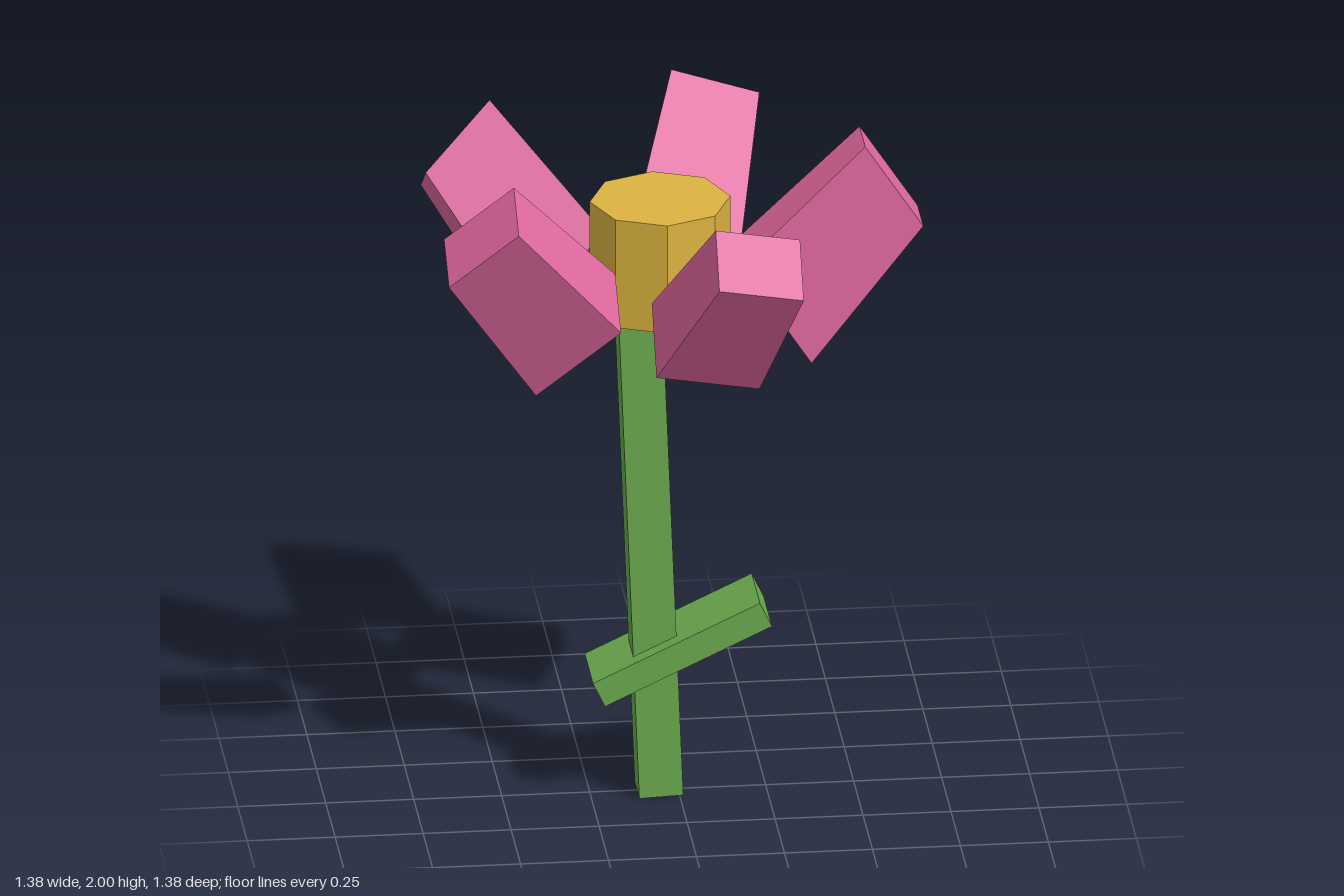
import * as THREE from 'three';
import { ConvexGeometry } from 'three/addons/geometries/ConvexGeometry.js';

const green = new THREE.MeshStandardMaterial({ color: 0x6aa84f });
green.name = 'leaf green';
const pink = new THREE.MeshStandardMaterial({ color: 0xe0689f });
pink.name = 'petal pink';
const gold = new THREE.MeshStandardMaterial({ color: 0xdcb340 });
gold.name = 'pollen gold';

const TAPER = 1.22; // inner end of a petal relative to its outer tip

// Slanted tapered block between two centres; u and v are the tip's half edges
function petalGeometry({ inner, outer, u, v }, mirror) {
  const points = [];
  for (const [centre, scale] of [[inner, TAPER], [outer, 1]]) {
    for (const a of [-scale, scale]) {
      for (const b of [-scale, scale]) {
        const p = centre.map((c, i) => c + a * u[i] + b * v[i]);
        points.push(new THREE.Vector3(p[0], p[1], p[2] * mirror));
      }
    }
  }
  return new ConvexGeometry(points);
}

export function createModel() {
  const group = new THREE.Group();
  const add = (name, geometry, material) => {
    const mesh = new THREE.Mesh(geometry, material);
    mesh.name = name;
    group.add(mesh);
    return mesh;
  };

  // Leaning square stem
  const stem = add('stem', new THREE.BoxGeometry(0.125, 1.5, 0.125), green);
  stem.position.set(-0.083, 0.752, 0);
  stem.rotation.z = 0.04;

  // Flat leaf slab crossing the stem
  const leaf = add('leaf', new THREE.BoxGeometry(0.525, 0.08, 0.22), green);
  leaf.position.set(0.002, 0.455, 0);
  leaf.rotation.z = 0.442;

  // Eight-sided flower centre
  const centre = add('flowerCentre', new THREE.CylinderGeometry(0.2, 0.2, 0.33, 8).toNonIndexed(), gold);
  centre.geometry.computeVertexNormals();
  centre.position.set(-0.05, 1.645, 0);

  // Petals: one on the left, two pairs mirrored front to back
  const sidePetal = {
    inner: [0.27, 1.478, 0], outer: [0.6075, 1.85, 0],
    u: [0.0825, -0.125, 0], v: [0, 0, 0.076],
  };
  const pairs = {
    LeftPetal: {
      inner: [0.0475, 1.4785, 0.2985], outer: [0.1675, 1.8525, 0.615],
      u: [0.1225, -0.03, -0.025], v: [0, -0.0725, 0.05],
    },
    RightPetal: {
      inner: [-0.31, 1.482, 0.186], outer: [-0.595, 1.861, 0.349],
      u: [0.095, 0.091, 0.039], v: [0, -0.0465, 0.066],
    },
  };
  add('sidePetal', petalGeometry(sidePetal, 1), pink);
  for (const [name, shape] of Object.entries(pairs)) {
    add('front' + name, petalGeometry(shape, 1), pink);
    add('back' + name, petalGeometry(shape, -1), pink);
  }

  return group;
}
